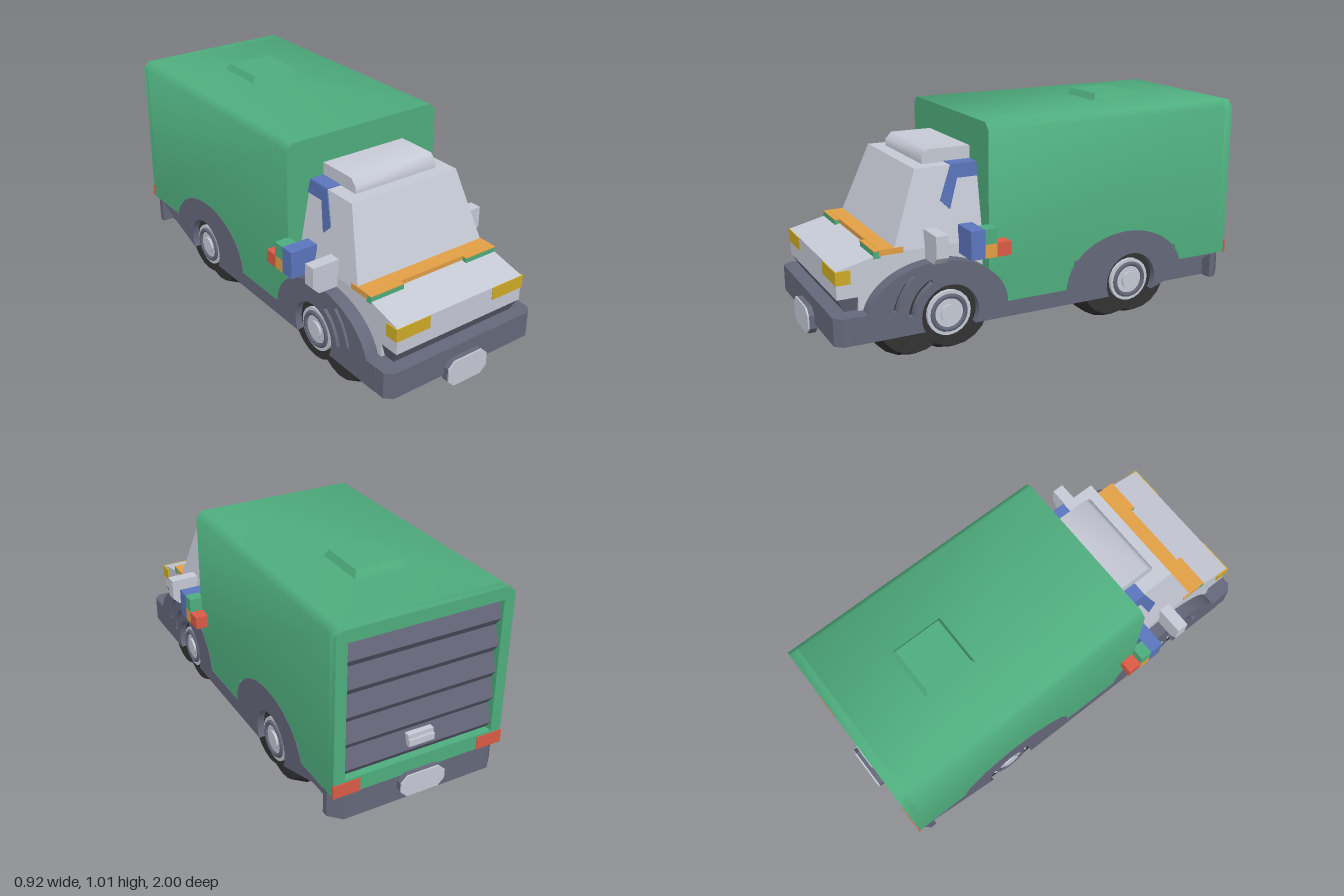
import * as THREE from 'three';
import { toCreasedNormals } from 'three/addons/utils/BufferGeometryUtils.js';

const mat = (name, color) => {
  const m = new THREE.MeshStandardMaterial({ color });
  m.name = name;
  return m;
};

export function createModel() {
  const green = mat('green', 0x4fae7e), dark = mat('darkGrey', 0x65687a), grey = mat('lightGrey', 0xc6cad5);
  const black = mat('black', 0x333333), blue = mat('blue', 0x5b76bd), yellow = mat('yellow', 0xcfac28);
  const orange = mat('orange', 0xe3a045), red = mat('red', 0xdb5b46);
  const root = new THREE.Group();
  root.name = 'deliveryTruck';

  const add = (name, geo, material) => {
    const m = new THREE.Mesh(geo, material);
    m.name = name;
    root.add(m);
    return m;
  };
  // box from its limits; mirrored in x when s is -1
  const box = (name, material, x0, x1, y0, y1, z0, z1, s = 1) => {
    const g = new THREE.BoxGeometry(x1 - x0, y1 - y0, z1 - z0);
    g.translate(s * (x0 + x1) / 2, (y0 + y1) / 2, (z0 + z1) / 2);
    return add(name, g, material);
  };
  // box whose top rectangle differs from the bottom one: [halfX, zBack, zFront]
  const taper = (name, material, y0, y1, b, t) => {
    const g = new THREE.BoxGeometry(1, 1, 1), p = g.attributes.position;
    for (let i = 0; i < p.count; i++) {
      const up = p.getY(i) > 0, r = up ? t : b;
      p.setXYZ(i, Math.sign(p.getX(i)) * r[0], up ? y1 : y0, p.getZ(i) > 0 ? r[2] : r[1]);
    }
    const n = g.toNonIndexed();
    n.computeVertexNormals();
    return add(name, n, material);
  };
  const poly = pts => new THREE.Shape(pts.map(p => new THREE.Vector2(p[0], p[1])));
  const extrude = (shape, depth) => new THREE.ExtrudeGeometry(shape, { depth, bevelEnabled: false, curveSegments: 20 });
  // shape in (x, y) pushed along z
  const frontExtrude = (shape, z0, z1) => extrude(shape, z1 - z0).translate(0, 0, z0);
  // shape in (z, y) pushed along x
  const sideExtrude = (shape, x0, x1) => extrude(shape, x1 - x0).rotateY(-Math.PI / 2).translate(x1, 0, 0);

  // chassis: wide ends with clipped corners, narrow between the side plates
  const half = [[0.35, -0.97], [0.4, -0.92], [0.4, -0.89], [0.345, -0.89], [0.345, 0.89], [0.4, 0.89], [0.4, 0.94], [0.37, 0.97]];
  const plan = poly([...half, ...half.map(([x, z]) => [-x, z]).reverse()]);
  add('chassis', extrude(plan, 0.12).rotateX(Math.PI / 2).translate(0, 0.25, 0), dark);
  box('wheelBayCore', dark, -0.34, 0.34, 0.24, 0.34, -0.7, -0.1);

  // side plates with wheel arches and hub openings
  const side = new THREE.Shape();
  side.moveTo(-0.89, 0.13);
  side.absarc(-0.435, 0.19, 0.13, Math.PI + 0.48, -0.48, true);
  side.absarc(0.47, 0.19, 0.13, Math.PI + 0.48, -0.48, true);
  side.lineTo(0.89, 0.13);
  side.lineTo(0.89, 0.25);
  side.absellipse(0.52, 0.2, 0.32, 0.23, 0.22, Math.PI, false, 0);
  side.absellipse(-0.405, 0.2, 0.31, 0.23, 0, Math.PI - 0.22, false, 0);
  side.lineTo(-0.89, 0.25);
  for (const [r0, r1, a0, a1] of [[0.165, 0.19, 0.1, 1.1], [0.24, 0.26, 0.2, 0.9]]) {
    const slit = new THREE.Path();
    slit.absarc(0.47, 0.19, r1, a0, a1, false);
    slit.absarc(0.47, 0.19, r0, a1, a0, true);
    slit.closePath();
    side.holes.push(slit);
  }

  // tyres sit in overlapping pairs behind each hub
  const tyreProfile = [[0, -0.107], [0.16, -0.107], [0.19, -0.045], [0.19, 0.045], [0.16, 0.107], [0, 0.107]]
    .map(p => new THREE.Vector2(p[0], p[1]));
  const tyre = toCreasedNormals(new THREE.LatheGeometry(tyreProfile, 20).rotateZ(-Math.PI / 2), 0.5);

  for (const s of [1, -1]) {
    const pre = s > 0 ? 'left' : 'right';
    const span = (a, b) => (s > 0 ? [a, b] : [-b, -a]);
    add(pre + 'SidePlate', toCreasedNormals(sideExtrude(side, ...span(0.341, 0.402)), 0.5), dark);

    for (const [label, hub, centres] of [['Front', 0.47, [0.44, 0.62]], ['Rear', -0.435, [-0.36, -0.48]]]) {
      for (const z of centres) add(pre + label + 'Tyre', tyre, black).position.set(s * 0.2625, 0.19, z);
      const rim = new THREE.CylinderGeometry(0.1, 0.1, 0.03, 20).rotateZ(Math.PI / 2);
      add(pre + label + 'Rim', rim, grey).position.set(s * 0.37, 0.19, hub);
      const ring = new THREE.TorusGeometry(0.075, 0.012, 6, 20).rotateY(Math.PI / 2);
      add(pre + label + 'RimRing', ring, dark).position.set(s * 0.383, 0.19, hub);
      const cap = new THREE.CylinderGeometry(0.04, 0.04, 0.03, 12).rotateZ(Math.PI / 2);
      add(pre + label + 'HubCap', cap, grey).position.set(s * 0.38, 0.19, hub);
    }

    // wing mirror and side marker blocks
    const mirror = poly([[s * 0.33, 0.43], [s * 0.43, 0.43], [s * 0.46, 0.46], [s * 0.46, 0.555], [s * 0.33, 0.555]]);
    add(pre + 'Mirror', frontExtrude(mirror, 0.5, 0.555), grey);
    box(pre + 'BlueBlock', blue, 0.33, 0.46, 0.43, 0.555, 0.335, 0.4, s);
    box(pre + 'GreenBlock', green, 0.39, 0.46, 0.49, 0.555, 0.28, 0.335, s);
    box(pre + 'OrangeBlock', orange, 0.39, 0.46, 0.43, 0.49, 0.28, 0.335, s);
    box(pre + 'RedBlock', red, 0.39, 0.46, 0.43, 0.49, 0.215, 0.28, s);

    // headlight wrapping the corner, and tail light
    box(pre + 'HeadlightFront', yellow, 0.17, 0.344, 0.372, 0.43, 0.938, 0.944, s);
    box(pre + 'HeadlightSide', yellow, 0.338, 0.344, 0.372, 0.43, 0.88, 0.94, s);
    box(pre + 'TailLight', red, 0.28, 0.403, 0.25, 0.31, -0.974, -0.966, s);

    // bonnet tabs
    box(pre + 'BonnetTab', green, 0.17, 0.34, 0.46, 0.49, 0.75, 0.778, s);
    box(pre + 'BonnetTabTop', orange, 0.17, 0.34, 0.49, 0.494, 0.75, 0.778, s);

    // blue cab stripe leaning with the cab side
    const stripe = sideExtrude(poly([[0.29, 0.745], [0.385, 0.745], [0.43, 0.62], [0.47, 0.66], [0.41, 0.8], [0.29, 0.8]]), ...span(0, 0.005));
    const p = stripe.attributes.position;
    for (let i = 0; i < p.count; i++) p.setX(i, p.getX(i) + s * (0.34 - (p.getY(i) - 0.49) * 0.06 / 0.31));
    add(pre + 'CabStripe', stripe, blue);
    box(pre + 'RoofStripe', blue, 0.215, 0.283, 0.799, 0.804, 0.29, 0.41, s);
  }

  // cab
  taper('cabUpper', grey, 0.475, 0.8, [0.34, 0.28, 0.695], [0.28, 0.28, 0.57]);
  const lower = poly([[0.28, 0.25], [0.85, 0.25], [0.85, 0.31], [0.94, 0.31], [0.94, 0.43], [0.755, 0.475], [0.28, 0.475]]);
  add('cabLower', sideExtrude(lower, -0.338, 0.338), grey);
  taper('lowerGrille', dark, 0.25, 0.311, [0.32, 0.8, 0.905], [0.338, 0.8, 0.938]);
  box('bonnetStrip', orange, -0.34, 0.34, 0.47, 0.495, 0.65, 0.756);
  const deflector = poly([[0.28, 0.8], [0.51, 0.8], [0.51, 0.83], [0.48, 0.86], [0.28, 0.86]]);
  add('roofDeflector', toCreasedNormals(sideExtrude(deflector, -0.215, 0.215), 0.9), grey);

  // cargo box with clipped top edges, open over the rear wheels
  const section = y0 => poly([[-0.4, y0], [0.4, y0], [0.4, 0.955], [0.37, 0.985], [-0.37, 0.985], [-0.4, 0.955]]);
  add('cargoBox', toCreasedNormals(frontExtrude(section(0.33), -0.93, 0.29), 0.9), green);
  box('cargoSkirtFront', green, -0.4, 0.4, 0.2, 0.33, -0.13, 0.29);
  box('cargoSkirtRear', green, -0.4, 0.4, 0.25, 0.33, -0.93, -0.68);
  const frame = section(0.25);
  frame.holes.push(poly([[-0.35, 0.32], [-0.35, 0.93], [0.35, 0.93], [0.35, 0.32]]));
  add('rearFrame', toCreasedNormals(frontExtrude(frame, -0.97, -0.93), 0.9), green);
  taper('roofHatch', green, 0.985, 1.015, [0.123, -0.637, -0.39], [0.108, -0.62, -0.405]);

  // roller shutter with five ridged slats
  const saw = [[-0.92, 0.32], [-0.92, 0.93]];
  for (let i = 5; i > 0; i--) {
    const y = 0.32 + i * 0.122;
    saw.push([-0.935, y], [-0.962, y - 0.085]);
  }
  saw.push([-0.935, 0.32]);
  add('rollerShutter', sideExtrude(poly(saw), -0.35, 0.35), dark);
  box('shutterHandle', grey, -0.06, 0.06, 0.38, 0.41, -0.975, -0.94);
  box('shutterHandleBase', grey, -0.06, 0.06, 0.41, 0.43, -0.965, -0.94);

  // bumper plates and the slats beneath
  for (const [name, y, h, d] of [['front', 0.14, 0.06, 1], ['rear', 0.21, 0.05, -1]]) {
    const c = 0.03;
    const oct = poly([[-0.105 + c, y - h], [0.105 - c, y - h], [0.105, y - h + c], [0.105, y + h - c],
      [0.105 - c, y + h], [-0.105 + c, y + h], [-0.105, y + h - c], [-0.105, y - h + c]]);
    const slab = (a, b) => (d > 0 ? frontExtrude(oct, a, b) : frontExtrude(oct, -b, -a));
    add(name + 'PlateBacking', slab(0.96, 0.993), dark);
    add(name + 'Plate', slab(0.993, 1), grey);
    for (const z of [0.78, 0.86]) {
      const z0 = d > 0 ? z + 0.03 : -z - 0.02;
      box(name + 'UndersideSlat', grey, -0.1, 0.1, 0.1, 0.135, z0, z0 + 0.025);
    }
  }
  return root;
}
